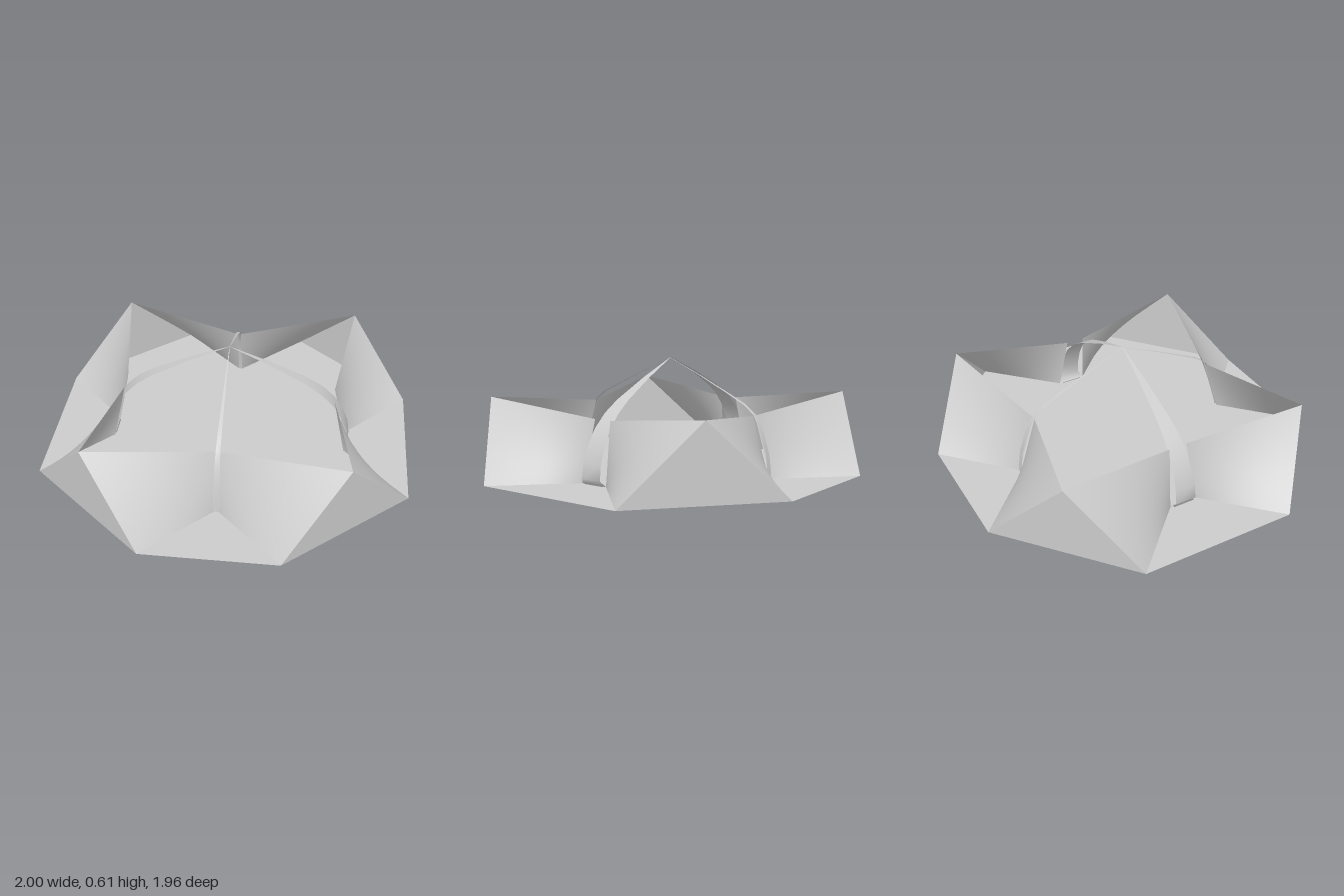
import * as THREE from 'three';
import { ParametricGeometry } from 'three/addons/geometries/ParametricGeometry.js';

const material = new THREE.MeshStandardMaterial({ color: 0xcccccc, side: THREE.DoubleSide });

function addMesh(group, geometry, name) {
  const mesh = new THREE.Mesh(geometry, material);
  mesh.name = name;
  group.add(mesh);
}

// Ruled sheet between edges a-b and d-c
function sheet(a, b, c, d, steps = 8) {
  const [A, B, C, D] = [a, b, c, d].map((p) => new THREE.Vector3(...p));
  const start = new THREE.Vector3(), end = new THREE.Vector3();
  return new ParametricGeometry((u, v, target) => {
    start.lerpVectors(A, B, u);
    end.lerpVectors(D, C, u);
    target.lerpVectors(start, end, v);
  }, steps, steps);
}

// Tapered band along +x, from rows of [distance, height, half width]
function band(rows) {
  const positions = [], index = [];
  rows.forEach(([x, y, w], i) => {
    positions.push(x, y, w, x, y, -w);
    if (i) {
      const k = 2 * i;
      index.push(k - 2, k, k - 1, k - 1, k, k + 1);
    }
  });
  const geometry = new THREE.BufferGeometry();
  geometry.setAttribute('position', new THREE.Float32BufferAttribute(positions, 3));
  geometry.setIndex(index);
  geometry.computeVertexNormals();
  return geometry;
}

export function createModel() {
  const model = new THREE.Group();

  // Octagonal floor with a narrow slot where each wide strap passes through
  const outline = [[1, 0.43], [0.36, 0.98], [-0.36, 0.98], [-1, 0.43],
    [-1, -0.43], [-0.36, -0.98], [0.36, -0.98], [1, -0.43]];
  const floor = new THREE.Shape(outline.map(([x, z]) => new THREE.Vector2(x, z)));
  for (const s of [-1, 1]) {
    floor.holes.push(new THREE.Path([[0.645, -0.06], [0.66, -0.06], [0.66, 0.06], [0.645, 0.06]]
      .map(([x, z]) => new THREE.Vector2(s * x, z))));
  }
  addMesh(model, new THREE.ShapeGeometry(floor).rotateX(-Math.PI / 2), 'floor');

  // Four raised corners: an upright triangle and the two walls folded in from it
  for (const sx of [-1, 1]) {
    for (const sz of [-1, 1]) {
      const at = (x, y, z) => [sx * x, y, sz * z];
      const corner = new THREE.Group();
      corner.name = 'corner';
      const peak = at(0.68, 0.4, 0.705);
      const sideFoot = at(1, 0, 0.43), endFoot = at(0.36, 0, 0.98);

      const triangle = new THREE.BufferGeometry();
      triangle.setAttribute('position', new THREE.Float32BufferAttribute(
        (sx * sz > 0 ? [sideFoot, peak, endFoot] : [sideFoot, endFoot, peak]).flat(), 3));
      triangle.computeVertexNormals();
      addMesh(corner, triangle, 'cornerTriangle');

      addMesh(corner, sx * sz > 0
        ? sheet(endFoot, peak, at(0.008, 0.325, 0.54), at(0.01, 0, 0.64))
        : sheet(at(0.01, 0, 0.64), at(0.008, 0.325, 0.54), peak, endFoot), 'endWall');
      addMesh(corner, sx * sz > 0
        ? sheet(at(0.65, 0, 0.078), at(0.58, 0.325, 0.05), peak, sideFoot)
        : sheet(sideFoot, peak, at(0.58, 0.325, 0.05), at(0.65, 0, 0.078)), 'sideWall');
      model.add(corner);
    }
  }

  // Arched straps that widen from the crossing at the top to the floor
  const wide = [[0, 0.605, 0.001], [0.22, 0.51, 0.019], [0.42, 0.41, 0.036], [0.51, 0.35, 0.044],
    [0.58, 0.28, 0.05], [0.63, 0.2, 0.054], [0.665, 0.11, 0.058], [0.675, 0.03, 0.06], [0.65, 0, 0.078]];
  const narrow = [[0, 0.6, 0.001], [0.22, 0.505, 0.005], [0.4, 0.42, 0.009], [0.48, 0.38, 0.011],
    [0.545, 0.33, 0.012], [0.59, 0.24, 0.015], [0.625, 0.13, 0.017], [0.642, 0, 0.019]];
  for (let i = 0; i < 4; i++) {
    const geometry = band(i % 2 ? narrow : wide).rotateY(i * Math.PI / 2);
    addMesh(model, geometry, i % 2 ? 'narrowStrap' : 'wideStrap');
  }

  return model;
}
